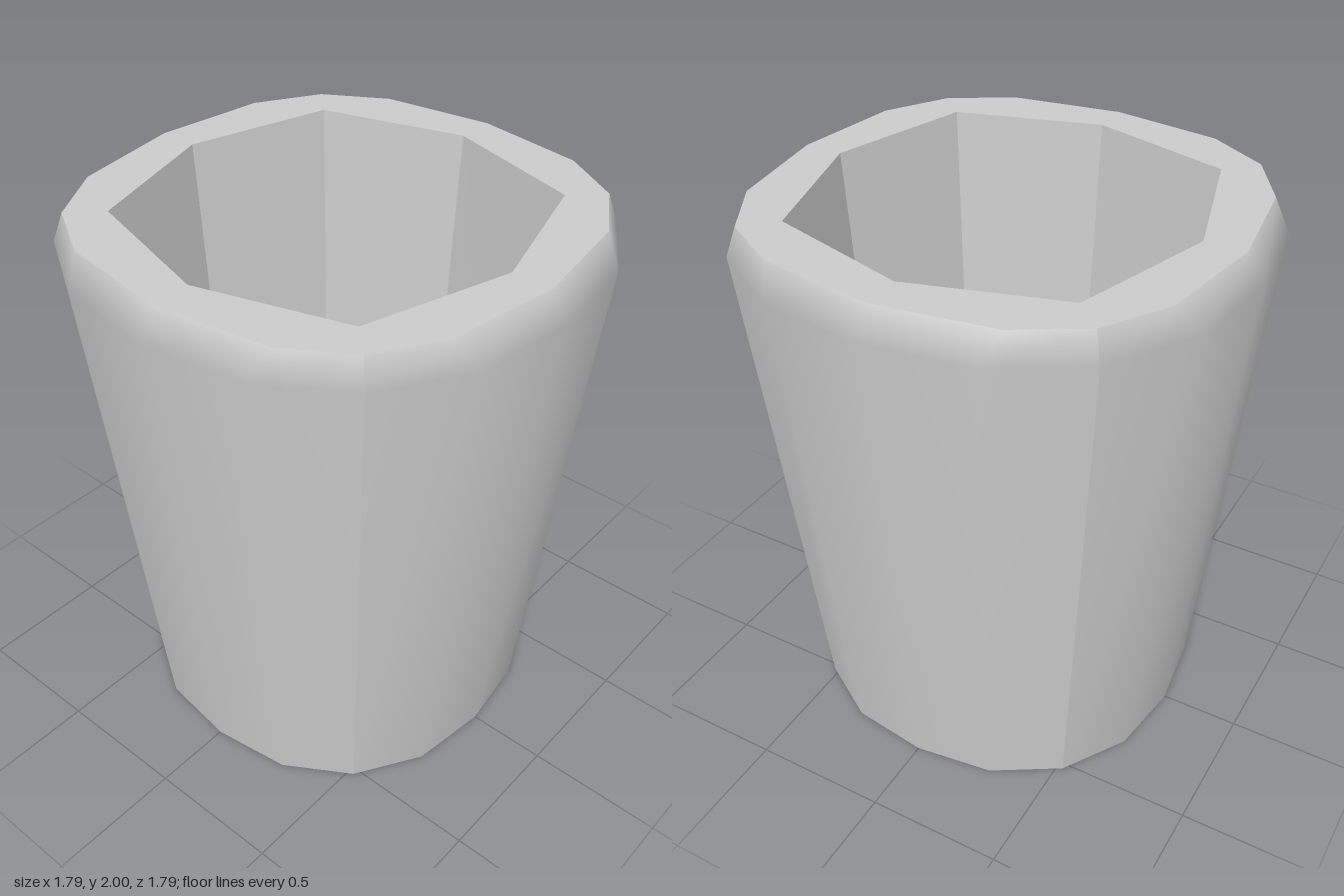
import * as THREE from 'three';

const material = new THREE.MeshStandardMaterial({ color: 0xcccccc });

// One quarter of a squarish ring, facing +z: [x, z] from corner to corner
const quarter = (corner, [bx, bz], mid) => [[-corner, corner], [-bx, bz], [0, mid], [bx, bz], [corner, corner]];
const rimTop = quarter(0.635, [0.41, 0.77], 0.83);
const shoulder = quarter(0.662, [0.367, 0.845], 0.895);
const base = shoulder.map(([x, z]) => [x * 0.79, z * 0.79]);

// Octagon of the cavity: axis points and diagonal points
const octagon = (mid, diag) => [[-diag, diag], [0, mid], [diag, diag]];
const mouth = octagon(0.685, 0.53);
const floorRing = octagon(0.57, 0.442);

// Skin between stacked quarter rings, each { y, pts }, listed bottom to top
function skin(rings, inward = false) {
  const n = rings[0].pts.length, pos = [], idx = [];
  for (const { y, pts } of rings) for (const [x, z] of pts) pos.push(x, y, z);
  for (let r = 0; r < rings.length - 1; r++) {
    for (let i = 0; i < n - 1; i++) {
      const a = r * n + i, b = a + 1, c = b + n, d = a + n;
      if (inward) idx.push(a, c, b, a, d, c);
      else idx.push(a, b, c, a, c, d);
    }
  }
  let g = new THREE.BufferGeometry();
  g.setAttribute('position', new THREE.Float32BufferAttribute(pos, 3));
  g.setIndex(idx);
  if (inward) g = g.toNonIndexed();
  g.computeVertexNormals();
  return g;
}

// Full closed outline from a quarter ring
function outline(pts) {
  const out = [];
  for (let k = 0; k < 4; k++) {
    const c = [1, 0, -1, 0][k], s = [0, 1, 0, -1][k];
    for (const [x, z] of pts.slice(0, -1)) out.push(new THREE.Vector2(x * c + z * s, z * c - x * s));
  }
  return out;
}

export function createModel() {
  const group = new THREE.Group();
  const add = (name, geometry, y = 0, rx = 0, ry = 0) => {
    const mesh = new THREE.Mesh(geometry, material);
    mesh.name = name;
    mesh.position.y = y;
    mesh.rotation.set(rx, ry, 0);
    group.add(mesh);
  };

  // Four smooth outer sides with creases at the diagonal corners, and the faceted cavity
  const side = skin([{ y: 0, pts: base }, { y: 1.9, pts: shoulder }, { y: 2, pts: rimTop }]);
  const cavity = skin([{ y: 0.2, pts: floorRing }, { y: 2, pts: mouth }], true);
  for (let k = 0; k < 4; k++) {
    add('outerWall', side, 0, 0, k * Math.PI / 2);
    add('innerWall', cavity, 0, 0, k * Math.PI / 2);
  }

  // Flat rim, inner floor and underside
  const rim = new THREE.Shape(outline(rimTop));
  rim.holes.push(new THREE.Path(outline(mouth)));
  add('rim', new THREE.ShapeGeometry(rim), 2, -Math.PI / 2);
  add('innerFloor', new THREE.ShapeGeometry(new THREE.Shape(outline(floorRing))), 0.2, -Math.PI / 2);
  add('underside', new THREE.ShapeGeometry(new THREE.Shape(outline(base))), 0, Math.PI / 2);
  return group;
}
